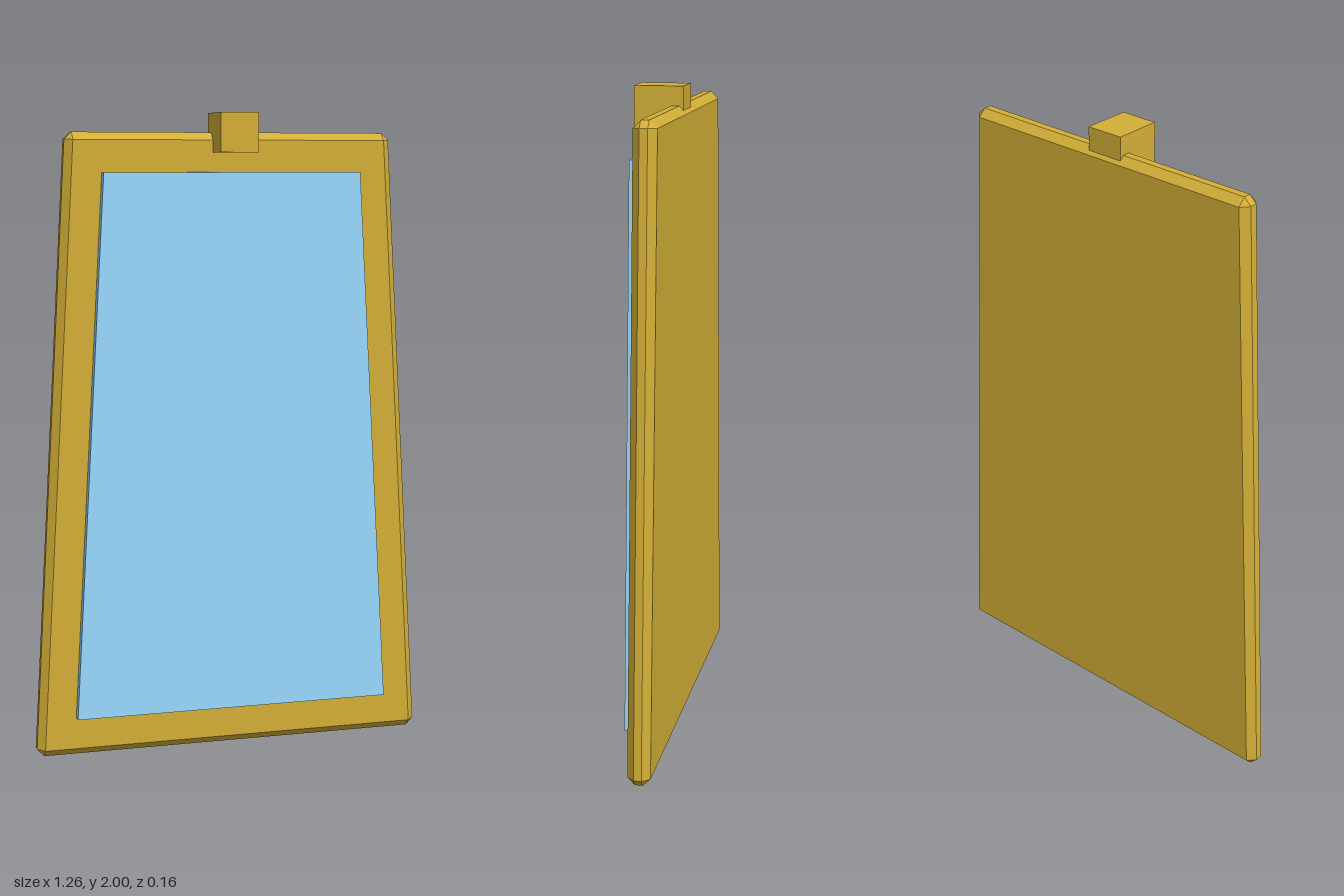
import * as THREE from 'three';
import { ConvexGeometry } from 'three/addons/geometries/ConvexGeometry.js';

const gold = new THREE.MeshStandardMaterial({ color: 0xd4af37, flatShading: true });
const blue = new THREE.MeshStandardMaterial({ color: 0x99d9ff, flatShading: true });

// Corners of an upright trapezoid, symmetrical about x = 0
const trapezoid = (bottom, top, y0, y1) => [
  [-bottom, y0], [bottom, y0], [top, y1], [-top, y1],
].map(([x, y]) => new THREE.Vector2(x, y));

// Trapezoidal slab with every edge chamfered; the outline given is its flat face
function chamferedSlab(outline, z0, z1, chamfer) {
  const points = [];
  outline.forEach((corner, i) => {
    const next = outline[(i + 1) % outline.length];
    const edge = next.clone().sub(corner).normalize();
    const normal = new THREE.Vector2(edge.y, -edge.x).multiplyScalar(chamfer);
    for (const z of [z0, z1]) points.push(new THREE.Vector3(corner.x, corner.y, z));
    // Both ends of the edge pushed outwards, at the inner depths
    for (const end of [corner, next]) {
      const p = end.clone().add(normal);
      for (const z of [z0 + chamfer, z1 - chamfer]) points.push(new THREE.Vector3(p.x, p.y, z));
    }
  });
  return new ConvexGeometry(points);
}

export function createModel() {
  const group = new THREE.Group();
  const add = (name, geometry, material) => {
    const mesh = new THREE.Mesh(geometry, material);
    mesh.name = name;
    group.add(mesh);
    return mesh;
  };

  // Backing frame
  add('frame', chamferedSlab(trapezoid(0.607, 0.495, 0.023, 1.918), -0.08, -0.01, 0.023), gold);

  // Raised pane on the front
  const pane = new THREE.ExtrudeGeometry(
    new THREE.Shape(trapezoid(0.508, 0.408, 0.125, 1.82)),
    { depth: 0.05, bevelEnabled: false },
  );
  add('pane', pane.translate(0, 0, -0.03), blue);

  // Block over the top edge
  add('topBlock', new THREE.BoxGeometry(0.12, 0.12, 0.15), gold).position.set(0, 1.94, 0.005);

  return group;
}
